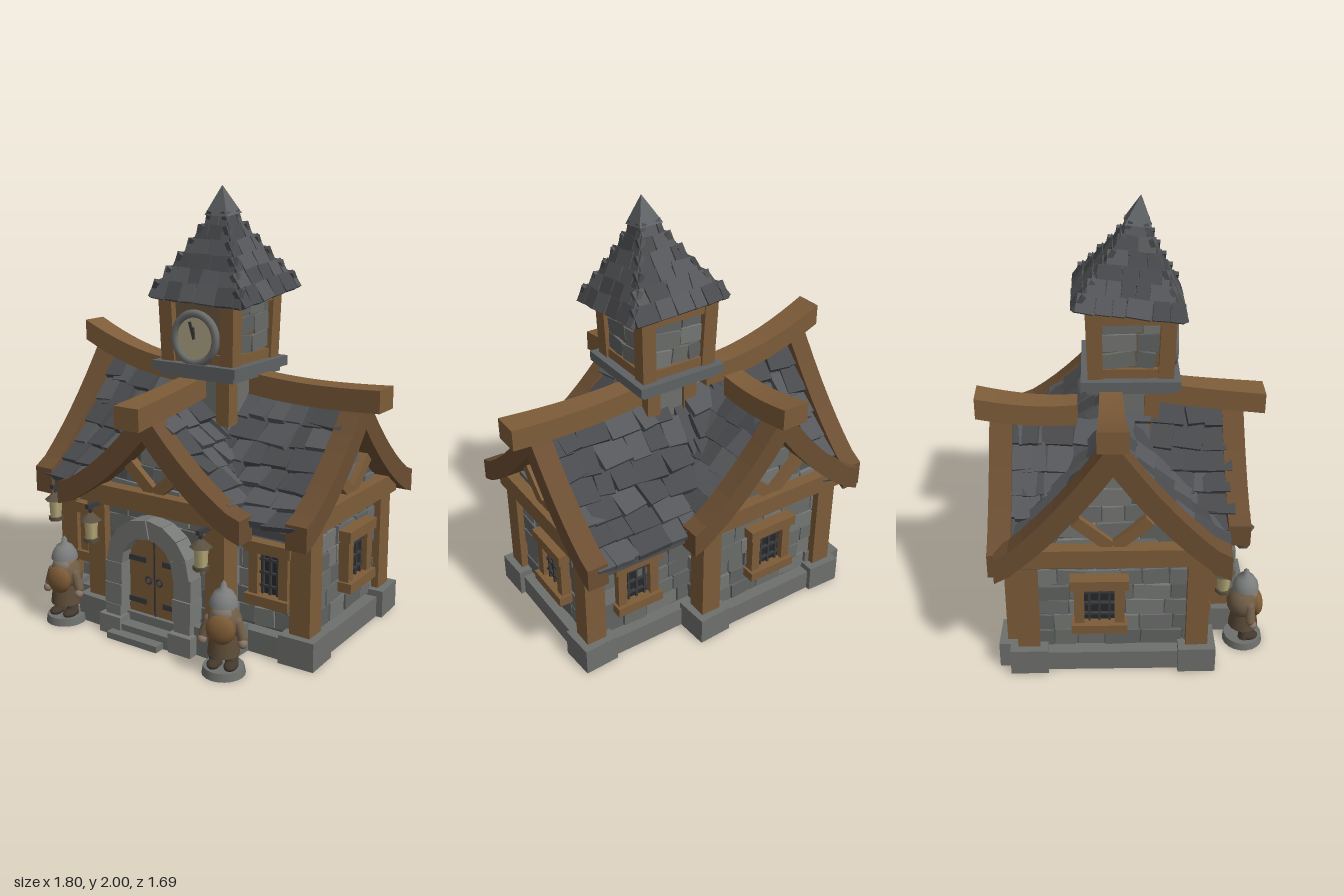
import * as THREE from 'three';
import { mergeGeometries } from 'three/addons/utils/BufferGeometryUtils.js';

const WOOD = 0x7d5c39, DARKWOOD = 0x6b4e32, STONE = 0x6e706d, SLATE = 0x4d4e50, IRON = 0x3a3a3c;
const STONES = [0x6a6c6a, 0x757774, 0x606361];
const TURN = -0.515, RIDGE = 1.04, EAVE = 0.62;
let seed = 7;
const rnd = (a = 0, b = 1) => { seed = (seed * 16807) % 2147483647; return a + (b - a) * (seed / 2147483647); };

function mesh(parent, name, geo, color) {
  const g = Array.isArray(geo) ? mergeGeometries(geo) : geo;
  const m = new THREE.Mesh(g, new THREE.MeshStandardMaterial({ color }));
  m.name = name;
  parent.add(m);
  return m;
}
function group(parent, name, x = 0, y = 0, z = 0, ry = 0) {
  const g = new THREE.Group();
  g.name = name;
  g.position.set(x, y, z);
  g.rotation.y = ry;
  parent.add(g);
  return g;
}
// Box turned and then placed, as a geometry
function box(w, h, d, x, y, z, rx = 0, ry = 0, rz = 0) {
  const m = new THREE.Matrix4().makeRotationFromEuler(new THREE.Euler(rx, ry, rz)).setPosition(x, y, z);
  return new THREE.BoxGeometry(w, h, d).applyMatrix4(m);
}
// Rows of stones on a wall; put(u, y, w, h) returns a box, range(y) the row's limits
function stoneWall(parent, y0, y1, range, put) {
  const lists = [[], [], []];
  for (let y = y0; y < y1; y += 0.085) {
    const [from, to] = range(y);
    for (let u = from; u < to - 0.03;) {
      const w = Math.min(rnd(0.08, 0.19), to - u);
      lists[Math.floor(rnd(0, 2.99))].push(put(u + w / 2, y + 0.042, w - 0.006, rnd(0.074, 0.084)));
      u += w;
    }
  }
  lists.forEach((l, i) => l.length && mesh(parent, 'wallStones', l, STONES[i]));
}

function addWindow(parent, x, y, z, ry, w = 0.18) {
  const g = group(parent, 'window', x, y, z, ry), h = 0.24, bars = [];
  mesh(g, 'pane', box(w, h, 0.04, 0, 0, 0), 0x25282a);
  mesh(g, 'windowFrame', [box(0.045, h, 0.07, -w / 2, 0, 0.015), box(0.045, h, 0.07, w / 2, 0, 0.015),
    box(w + 0.08, 0.05, 0.09, 0, h / 2, 0.02), box(w + 0.07, 0.045, 0.1, 0, -h / 2, 0.02)], WOOD);
  for (const k of [-1, 0, 1]) bars.push(box(0.01, h, 0.015, k * w / 4, 0, 0.025), box(w, 0.01, 0.015, 0, k * h / 4, 0.025));
  mesh(g, 'windowBars', bars, IRON);
}

function addLantern(parent, x, y, z) {
  const g = group(parent, 'lantern', x, y, z);
  mesh(g, 'lanternBracket', [box(0.02, 0.02, 0.15, 0, 0.11, -0.05), box(0.015, 0.04, 0.015, 0, 0.095, 0)], IRON);
  mesh(g, 'lanternGlass', new THREE.CylinderGeometry(0.032, 0.027, 0.09, 6), 0xb5a878);
  const cap = mesh(g, 'lanternCap', new THREE.ConeGeometry(0.052, 0.045, 6), 0x5a5140);
  cap.position.y = 0.065;
  const foot = mesh(g, 'lanternFoot', new THREE.CylinderGeometry(0.036, 0.036, 0.018, 6), 0x5a5140);
  foot.position.y = -0.05;
}

function addStatue(parent, x, z, ry) {
  const g = group(parent, 'dwarfStatue', x, 0, z, ry);
  const part = (name, geo, color, px, py, pz, sx = 1, sy = 1, sz = 1, rz = 0) => {
    const m = mesh(g, name, geo, color);
    m.position.set(px, py, pz); m.scale.set(sx, sy, sz); m.rotation.z = rz;
  };
  const ball = new THREE.SphereGeometry(1, 16, 12);
  part('pedestal', new THREE.CylinderGeometry(0.088, 0.094, 0.035, 20), STONE, 0, 0.0175, 0);
  part('coat', new THREE.CylinderGeometry(0.055, 0.07, 0.12, 14), 0x5d4c38, 0, 0.15, 0);
  part('torso', ball, 0x6d5b44, 0, 0.225, -0.01, 0.078, 0.078, 0.074);
  part('roundShield', ball, 0x7d5a36, 0, 0.215, 0.05, 0.064, 0.066, 0.035);
  part('head', ball, 0x9a7a5c, 0, 0.295, 0, 0.048, 0.045, 0.048);
  part('beard', ball, 0x83776a, 0, 0.275, 0.03, 0.045, 0.04, 0.03);
  part('helmet', new THREE.LatheGeometry([[0.062, 0], [0.06, 0.015], [0.054, 0.035], [0.038, 0.06], [0.015, 0.075], [0.012, 0.095], [0, 0.108]]
    .map(p => new THREE.Vector2(...p)), 14), 0x7c7e7e, 0, 0.305, 0);
  for (const s of [-1, 1]) {
    part('leg', new THREE.CylinderGeometry(0.026, 0.03, 0.08, 10), 0x4d4236, s * 0.035, 0.07, 0);
    part('boot', ball, 0x43382c, s * 0.037, 0.045, 0.02, 0.03, 0.02, 0.045);
    part('arm', new THREE.CapsuleGeometry(0.022, 0.07, 4, 10), 0x73604a, s * 0.074, 0.205, 0.01, 1, 1, 1, s * 0.3);
    part('hand', ball, 0x8a7566, s * 0.088, 0.15, 0.02, 0.02, 0.022, 0.02);
  }
}

// One gabled wing facing its own +z: walls, roof, timbers
function addWing(house, o) {
  const g = group(house, o.name, o.x, 0, o.z, o.ry), { hw, wall, verge, half } = o;
  const lift = z => (o.peak - RIDGE) * (z / verge) ** 2;
  const yAt = (s, z = 0) => {
    const t = Math.min(1, Math.abs(s) / half);
    return RIDGE - (RIDGE - EAVE) * (1.4 * t - 0.4 * t * t) + lift(z) * (1 - t);
  };
  const slope = (s, z = 0) => (yAt(Math.abs(s) + 0.01, z) - yAt(Math.abs(s) - 0.01, z)) / 0.02 * Math.sign(s);
  const curve = (w, off, z = 0) => Array.from({ length: 17 }, (_, i) => {
    const s = w * (i / 8 - 1);
    const k = Math.min(0.97 * half, Math.max(0.03, Math.abs(s)));
    return new THREE.Vector2(s, yAt(s, z) + off * Math.hypot(1, slope(k, z)));
  });
  const extrude = (pts, depth, steps) => new THREE.ExtrudeGeometry(new THREE.Shape(pts), { depth, steps, bevelEnabled: false });
  const bend = geo => {
    const p = geo.attributes.position;
    for (let i = 0; i < p.count; i++) if (p.getY(i) > 0.5)
      p.setY(i, p.getY(i) + lift(p.getZ(i)) * (1 - Math.min(1, Math.abs(p.getX(i)) / half)));
    geo.computeVertexNormals();
    return geo;
  };
  const band = (w, lo, hi, z) => [...curve(w, lo, z), ...curve(w, hi, z).reverse()];

  mesh(g, 'wall', bend(extrude([new THREE.Vector2(-hw, 0.03), new THREE.Vector2(hw, 0.03), ...curve(hw, -0.02).reverse()], wall, 6)), 0x565856);
  mesh(g, 'roofDeck', bend(extrude(band(half, -0.03, 0), verge, 6)), SLATE);
  mesh(g, 'vergeBeam', extrude(band(half + 0.02, -0.05, 0.045, verge), 0.1, 1).translate(0, 0, verge - 0.05), DARKWOOD);

  // Overlapping slates, lower edges raised; none where a crossing wing covers the eave
  const slates = [[], []], rows = 6, step = half / rows;
  for (const side of [-1, 1]) for (let r = 0; r < rows; r++) {
    const start = r >= rows - 2 && o.covered ? o.covered[side < 0 ? 0 : 1] : 0;
    for (let z = start + rnd(0, 0.05); z < verge - 0.06;) {
      const w = rnd(0.08, 0.18), s = side * (r + 0.55) * step, zc = Math.min(z + w / 2, verge - 0.09);
      slates[rnd() < 0.5 ? 0 : 1].push(box(step * rnd(1.45, 1.75), rnd(0.022, 0.036), w - 0.006, s, yAt(s, zc) + 0.024, zc,
        rnd(-0.08, 0.08), rnd(-0.2, 0.2), Math.atan(slope(s, zc)) + side * rnd(0.1, 0.24)));
      z += w;
    }
  }
  slates.forEach((l, i) => mesh(g, 'roofSlates', l, [0x55575a, 0x494a4d][i]));

  // Ridge beam, sagging a little and sweeping up to its tip
  const len = o.tip - 0.17, ridge = new THREE.BoxGeometry(0.11, 0.1, len, 1, 1, 10).translate(0, 0, 0.17 + len / 2);
  const p = ridge.attributes.position;
  for (let i = 0; i < p.count; i++) {
    const z = p.getZ(i), t = z / o.tip;
    p.setXYZ(i, p.getX(i) * (0.85 + 0.35 * t), p.getY(i) + RIDGE + 0.06 + lift(z) + 0.04 * (1 - t) - 0.02 * Math.sin(Math.PI * t), z);
  }
  ridge.computeVertexNormals();
  mesh(g, 'ridgeBeam', ridge, WOOD);

  // Stones on gable and side walls
  stoneWall(g, 0.11, o.peak - 0.12, y => {
    let s = hw - 0.02;
    while (s > 0 && yAt(s, wall) < y + 0.12) s -= 0.02;
    return [-s, s];
  }, (u, y, w, h) => box(w, h, 0.04, u, y, wall + rnd(-0.012, 0), 0, rnd(-0.05, 0.05), rnd(-0.07, 0.07)));
  for (const s of [-1, 1]) stoneWall(g, 0.11, 0.6, () => [0.05, wall - 0.03],
    (u, y, w, h) => box(0.04, h, w, s * (hw + rnd(-0.012, 0)), y, u, rnd(-0.07, 0.07), rnd(-0.05, 0.05)));

  // Posts, tie beam, struts, plinth
  const wood = [box(hw * 2 + 0.12, 0.09, 0.1, 0, 0.637, wall + 0.025)], base = [box(hw * 2 + 0.12, 0.1, wall + 0.06, 0, 0.05, (wall + 0.06) / 2)];
  for (const s of [-1, 1]) {
    wood.push(box(0.1, 0.56, 0.1, s * hw, 0.36, wall), box(0.055, 0.2, 0.05, s * 0.085, 0.745, wall + 0.02, 0, 0, -s * 0.85));
    wood.push(box(0.06, 0.06, wall, s * (hw + 0.01), 0.62, wall / 2));
    base.push(box(0.17, 0.13, 0.17, s * hw, 0.065, wall, 0, rnd(-0.06, 0.06)));
  }
  mesh(g, 'timberFrame', wood, WOOD);
  mesh(g, 'plinth', base, STONE);
  if ('windowX' in o) addWindow(g, o.windowX, 0.37, wall + 0.01, 0);
  for (const [s, z, w] of o.sideWindows || []) addWindow(g, s * hw, 0.37, z, s * Math.PI / 2, w);
  return g;
}

function addDoor(g, wall) {
  const door = new THREE.Shape().moveTo(-0.15, 0.06).lineTo(0.15, 0.06).lineTo(0.15, 0.34).absarc(0, 0.34, 0.15, 0, Math.PI).lineTo(-0.15, 0.06);
  mesh(g, 'door', new THREE.ExtrudeGeometry(door, { depth: 0.04, bevelEnabled: false }).translate(0, 0, wall), WOOD);
  const stones = [], iron = [box(0.008, 0.4, 0.01, 0, 0.27, wall + 0.04)];
  for (let i = 0; i < 8; i++) {
    const a = (i + 0.5) * Math.PI / 8;
    stones.push(box(0.085, 0.088, rnd(0.11, 0.13), 0.185 * Math.cos(a), 0.34 + 0.185 * Math.sin(a), wall + 0.04, 0, 0, a));
  }
  for (const s of [-1, 1]) {
    for (let i = 0; i < 3; i++) stones.push(box(rnd(0.085, 0.1), 0.1, rnd(0.11, 0.14), s * 0.19, 0.09 + i * 0.1, wall + 0.04));
    stones.push(box(0.12, 0.09, 0.16, s * 0.195, 0.045, wall + 0.05));
    for (const y of [0.16, 0.36]) iron.push(box(0.1, 0.025, 0.012, s * 0.095, y, wall + 0.042));
    iron.push(new THREE.TorusGeometry(0.016, 0.005, 6, 12).translate(s * 0.03, 0.27, wall + 0.048));
  }
  mesh(g, 'doorArch', stones, 0x777976);
  mesh(g, 'doorIron', iron, IRON);
  mesh(g, 'steps', [box(0.4, 0.06, 0.12, -0.01, 0.03, wall + 0.06), box(0.28, 0.03, 0.08, -0.04, 0.015, wall + 0.13)], STONE);
}

function addTower(house, root) {
  const g = group(house, 'tower', 0.02, 0, 0.07), wood = [], side = Math.PI / 2;
  mesh(g, 'towerFoot', box(0.24, 0.3, 0.24, 0, 1.04, 0), STONE);
  mesh(g, 'towerPlatform', [box(0.45, 0.045, 0.45, 0, 1.203, 0), box(0.4, 0.03, 0.4, 0, 1.17, 0)], 0x5f6264);
  const core = new THREE.CylinderGeometry(0.17 * Math.SQRT2, 0.16 * Math.SQRT2, 0.34, 4).rotateY(Math.PI / 4).translate(0, 1.38, 0);
  mesh(g, 'towerWall', core.toNonIndexed(), 0x6b5a42).material.flatShading = true;
  for (let i = 0; i < 4; i++) {
    const f = group(g, 'towerSide', 0, 0, 0, i * side);
    wood.push(box(0.07, 0.34, 0.07, 0.163, 1.38, 0.163, 0.03, 0, -0.03).rotateY(i * side),
      box(0.31, 0.05, 0.05, 0, 1.245, 0.158).rotateY(i * side), box(0.32, 0.06, 0.05, 0, 1.52, 0.17).rotateY(i * side),
      box(0.07, 0.24, 0.07, 0.1, 1.06, 0.1).rotateY(i * side));
    if (i) stoneWall(f, 1.27, 1.46, () => [-0.13, 0.13], (u, y, w, h) => box(w, h, 0.025, u, y, 0.164, 0.03, rnd(-0.06, 0.06), rnd(-0.16, 0.16)));
  }
  mesh(g, 'towerFrame', wood, WOOD);
  // Clock
  const c = group(g, 'clock', 0, 1.34, 0.185);
  mesh(c, 'clockFace', new THREE.CylinderGeometry(0.105, 0.105, 0.04, 28).rotateX(side), 0xb3a988);
  mesh(c, 'clockRing', new THREE.TorusGeometry(0.11, 0.019, 8, 32).translate(0, 0, 0.015), 0x6c6e6c);
  mesh(c, 'clockHands', [box(0.012, 0.08, 0.008, -0.012, 0.035, 0.025, 0, 0, 0.3), box(0.012, 0.05, 0.008, -0.004, 0.025, 0.025, 0, 0, 0.1)], IRON);

  // Leaning pyramid roof, slightly concave
  const tilt = group(root, 'towerRoof', 0.005, 1.535, 0.075);
  tilt.rotation.set(0.12, 0, 0.02);
  const roof = group(tilt, 'towerRoofTurned', 0, 0, 0, TURN), tiles = [[], []], rows = 6;
  const pyramid = (r0, r1, y0, y1) => new THREE.CylinderGeometry(r1 * Math.SQRT2, r0 * Math.SQRT2, y1 - y0, 4)
    .rotateY(Math.PI / 4).translate(0, (y0 + y1) / 2, 0).toNonIndexed();
  const halfAt = t => 0.035 + 0.205 * (1 - t) ** 1.2;
  for (let r = 0; r < rows; r++)
    mesh(roof, 'roofCore', pyramid(halfAt(r / rows), halfAt((r + 1) / rows), r * 0.35 / rows, (r + 1) * 0.35 / rows), SLATE).material.flatShading = true;
  for (let i = 0; i < 4; i++) for (let r = 0; r < rows; r++) {
    const h = halfAt(r / rows), lean = Math.atan((h - halfAt((r + 1) / rows)) * rows / 0.35);
    for (let x = -h; x < h - 0.015;) {
      const w = Math.min(rnd(0.06, 0.12), h - x);
      tiles[rnd() < 0.5 ? 0 : 1].push(box(w - 0.005, 0.085, 0.022, x + w / 2, r * 0.35 / rows + 0.03, h - 0.012,
        -lean + rnd(0, 0.1), 0, rnd(-0.09, 0.09)).rotateY(i * side));
      x += w;
    }
  }
  tiles.forEach((l, i) => mesh(roof, 'towerSlates', l, [0x55575a, 0x494a4d][i]));
  mesh(roof, 'roofCap', pyramid(0.06, 0.001, 0.345, 0.47), 0x606365).material.flatShading = true;
}

export function createModel() {
  seed = 7;
  const root = new THREE.Group();
  root.name = 'stoneClockHouse';
  const house = group(root, 'house', 0, 0, 0, TURN), q = Math.PI / 2;
  const front = addWing(house, { name: 'frontWing', x: -0.03, z: 0, ry: 0, hw: 0.33, half: 0.48, wall: 0.48, verge: 0.55, tip: 0.7, peak: 1.01 });
  addWing(house, { name: 'leftWing', x: 0, z: 0.01, ry: q, hw: 0.33, half: 0.49, wall: 0.64, verge: 0.69, tip: 0.83, peak: 1.05,
    covered: [0.36, 0.12], windowX: 0.06, sideWindows: [[-1, 0.48, 0.15], [1, 0.41, 0.17]] });
  addWing(house, { name: 'rightWing', x: 0, z: -0.02, ry: -q, hw: 0.38, half: 0.49, wall: 0.64, verge: 0.72, tip: 0.82, peak: 1.18,
    covered: [0.62, 0.42], windowX: -0.06, sideWindows: [[1, 0.48, 0.13]] });
  addWing(house, { name: 'backWing', x: -0.25, z: 0, ry: 2 * q, hw: 0.34, half: 0.46, wall: 0.45, verge: 0.51, tip: 0.62, peak: 1.08,
    covered: [0, 0.46], windowX: 0 });
  addDoor(front, 0.48);
  addTower(house, root);
  for (const [x, z] of [[-0.67, 0.47], [-0.33, 0.6], [0.28, 0.6]]) addLantern(house, x, 0.48, z);
  addStatue(root, -0.73, 0.275, -0.4);
  addStatue(root, 0.05, 0.745, -0.2);
  return root;
}
